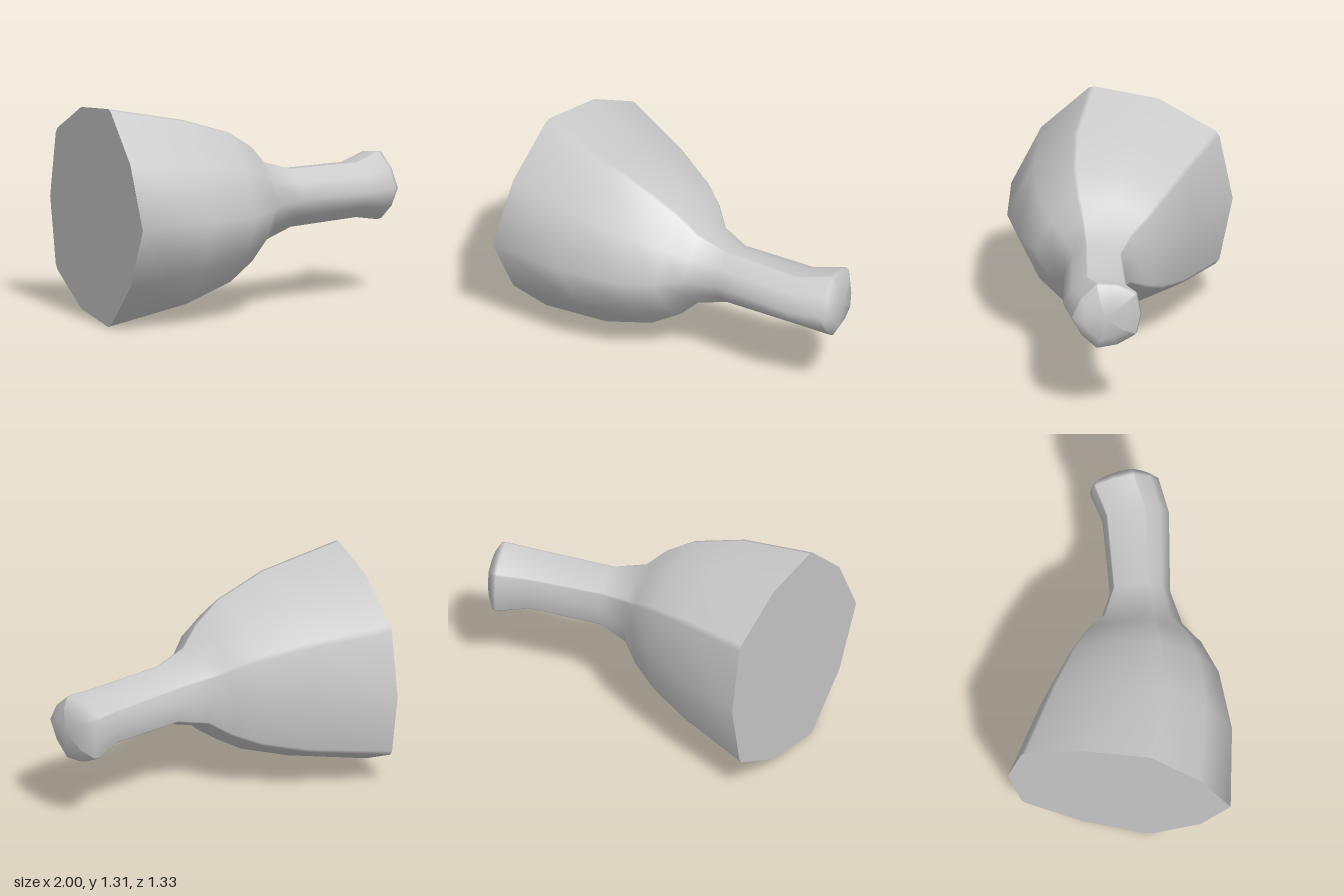
import * as THREE from 'three';

const MID_Y = 0.66;

// Upper half of the cross-section: [front-to-back position, height], with narrow bevels at the ridges
const half = [[1, 0], [0.73, 0.565], [0.3, 0.985], [0.25, 1], [-0.33, 0.925], [-0.845, 0.65], [-0.88, 0.6], [-1, 0]];
const section = [...half, ...half.slice(1, -1).reverse().map(([s, t]) => [s, -t])];

// Rings: front x, front z, back x, back z, half height
const rings = [
  [-1, 0.665, -1, -0.667, 0.655],
  [-0.51, 0.6, -0.52, -0.54, 0.555],
  [-0.17, 0.47, -0.25, -0.445, 0.45],
  [0, 0.34, -0.09, -0.365, 0.345],
  [0.1, 0.21, 0.03, -0.275, 0.235],
  [0.29, 0.11, 0.22, -0.24, 0.175],
  [0.78, 0.03, 0.66, -0.35, 0.165],
  [0.965, -0.055, 0.825, -0.45, 0.205],
  [0.985, -0.065, 0.855, -0.447, 0.2],
  [1, -0.13, 0.92, -0.383, 0.135],
];

function ringPoints([fx, fz, bx, bz, h]) {
  return section.flatMap(([s, t]) => {
    const k = (1 - s) / 2;
    return [fx + (bx - fx) * k, MID_Y + t * h, fz + (bz - fz) * k];
  });
}

function makeMesh(name, positions, index, material) {
  const geometry = new THREE.BufferGeometry();
  geometry.setAttribute('position', new THREE.Float32BufferAttribute(positions, 3));
  geometry.setIndex(index);
  geometry.computeVertexNormals();
  const mesh = new THREE.Mesh(geometry, material);
  mesh.name = name;
  return mesh;
}

export function createModel() {
  const group = new THREE.Group();
  group.name = 'taperedHandle';
  const material = new THREE.MeshStandardMaterial({ color: 0xcccccc });
  const n = section.length;

  // Flared body, bent neck and domed end as one smooth loft
  const positions = rings.flatMap(ringPoints);
  const index = [];
  for (let i = 0; i < rings.length - 1; i++) {
    for (let j = 0; j < n; j++) {
      const a = i * n + j, b = i * n + (j + 1) % n;
      index.push(a, a + n, b, b, a + n, b + n);
    }
  }
  const apex = rings.length * n, last = apex - n;
  positions.push(0.972, MID_Y, -0.26);
  for (let j = 0; j < n; j++) index.push(apex, last + (j + 1) % n, last + j);
  group.add(makeMesh('body', positions, index, material));

  // Flat wide end
  const capIndex = [];
  for (let j = 0; j < n; j++) capIndex.push(n, j, (j + 1) % n);
  group.add(makeMesh('flatEnd', [...ringPoints(rings[0]), -1, MID_Y, 0], capIndex, material));

  return group;
}
